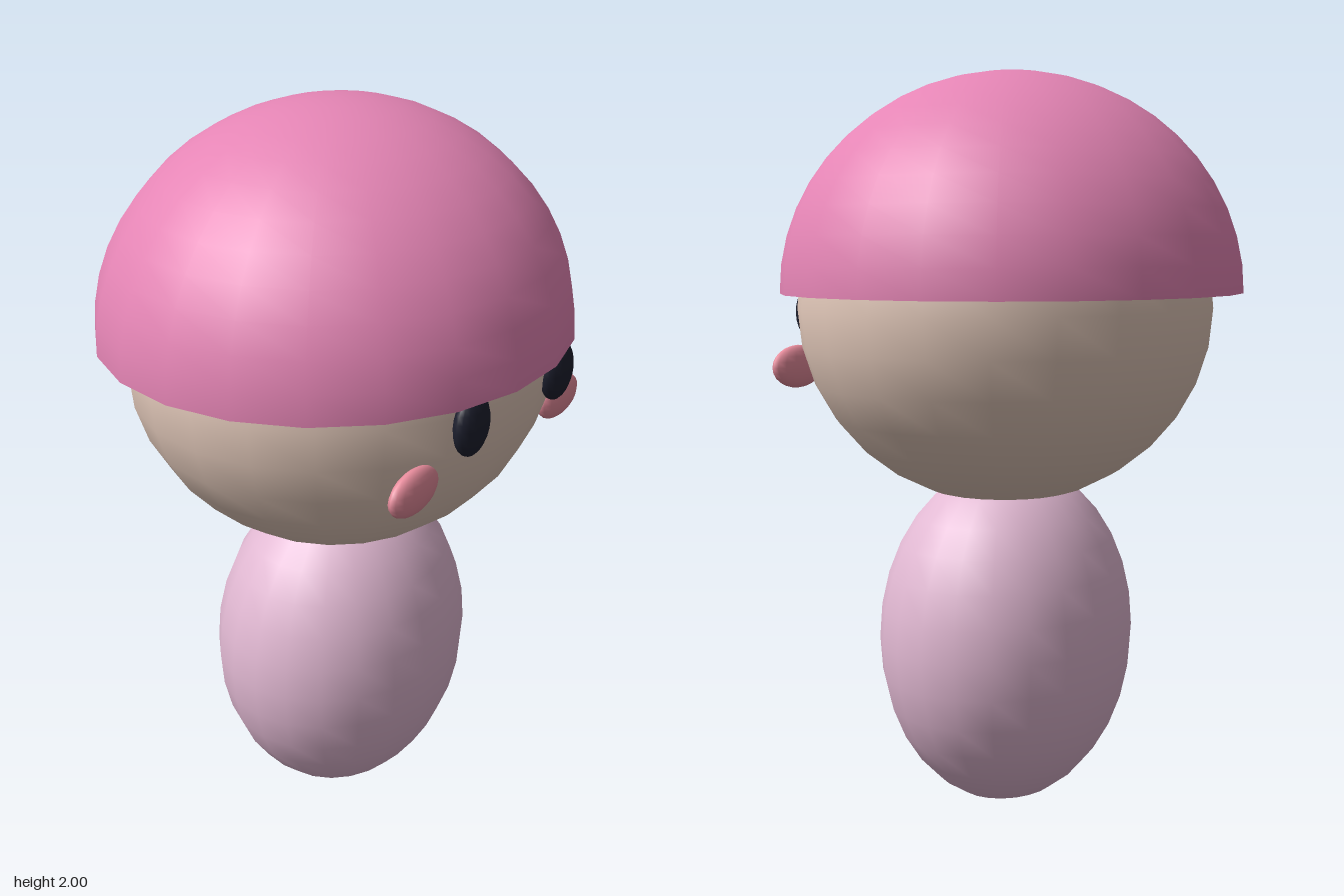
import * as THREE from 'three';

function paint(name, color, side = THREE.FrontSide) {
  const m = new THREE.MeshStandardMaterial({ color, side });
  m.name = name;
  return m;
}

export function createModel() {
  const model = new THREE.Group();
  model.name = 'mushroomFigure';

  const capPink = paint('capPink', 0xe585b5, THREE.DoubleSide);
  const skin = paint('skin', 0xe4cabb);
  const bodyPink = paint('bodyPink', 0xe2b9d3);
  const eyeBlack = paint('eyeBlack', 0x1d1f2e);
  const blush = paint('blush', 0xe78c9c);

  // Unit sphere (or part of one) stretched to an ellipsoid
  function ellipsoid(name, material, [x, y, z], [rx, ry, rz], w, h, theta = Math.PI) {
    const geometry = new THREE.SphereGeometry(1, w, h, 0, Math.PI * 2, 0, theta);
    const mesh = new THREE.Mesh(geometry, material);
    mesh.name = name;
    mesh.position.set(x, y, z);
    mesh.scale.set(rx, ry, rz);
    model.add(mesh);
  }

  ellipsoid('body', bodyPink, [0, 0.48, 0.02], [0.39, 0.475, 0.33], 22, 16);
  ellipsoid('head', skin, [0, 1.38, 0.02], [0.587, 0.53, 0.545], 22, 16);

  // Open half dome, hollow underneath
  ellipsoid('cap', capPink, [0, 1.42, 0], [0.645, 0.58, 0.606], 22, 12, Math.PI / 2);

  // Face, mirrored left and right
  for (const [side, s] of [['left', 1], ['right', -1]]) {
    ellipsoid(side + 'Eye', eyeBlack, [s * 0.198, 1.36, 0.545], [0.065, 0.08, 0.032], 16, 12);
    ellipsoid(side + 'Cheek', blush, [s * 0.335, 1.22, 0.48], [0.095, 0.058, 0.029], 16, 12);
  }

  return model;
}
